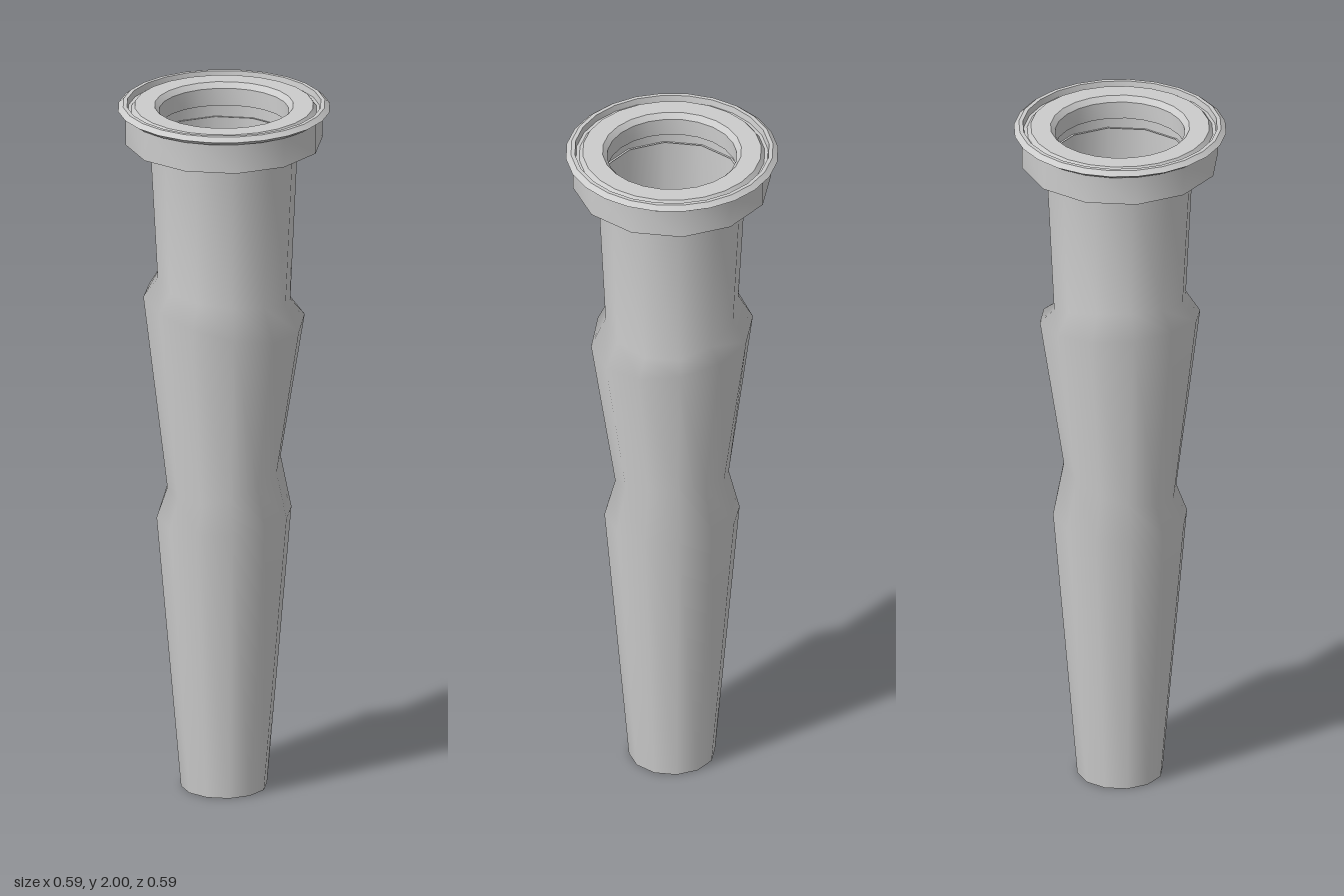
import * as THREE from 'three';
import { mergeVertices, toCreasedNormals } from 'three/addons/utils/BufferGeometryUtils.js';

const material = new THREE.MeshStandardMaterial({ color: 0xcccccc, side: THREE.DoubleSide });

function addMesh(group, name, geometry) {
  const mesh = new THREE.Mesh(geometry, material);
  mesh.name = name;
  group.add(mesh);
}

// Turned part with crisp edges; profile points are [radius, height].
function turned(profile, sides) {
  const points = profile.map(([r, y]) => new THREE.Vector2(r, y));
  return toCreasedNormals(new THREE.LatheGeometry(points, sides), 0.6);
}

// Hollow tapering body: the neck, ridge and waist heights drift around the axis.
// Each ring: radius, then heights at -x, +x, -z and +z.
function bodyGeometry() {
  const rings = [
    [0.12, 0, 0, 0, 0],
    [0.188, 0.8, 0.8, 0.81, 0.79],
    [0.158, 0.92, 0.91, 0.97, 0.87],
    [0.225, 1.43, 1.36, 1.39, 1.43],
    [0.185, 1.5, 1.45, 1.42, 1.48],
    [0.208, 1.93, 1.93, 1.93, 1.93],
  ];
  const points = rings.map(([r, ...h]) => new THREE.Vector2(r, (h[0] + h[1]) / 2));
  const sides = 12;
  const geometry = new THREE.LatheGeometry(points, sides);
  const pos = geometry.attributes.position;
  for (let i = 0; i < pos.count; i++) {
    const [r, left, right, back, front] = rings[i % rings.length];
    const sx = pos.getX(i) / r, sz = pos.getZ(i) / r;
    const y = sx * sx * (left + right) / 2 + sx * (right - left) / 2
      + sz * sz * (back + front) / 2 + sz * (front - back) / 2;
    pos.setY(i, y);
  }
  geometry.deleteAttribute('normal');
  geometry.deleteAttribute('uv');
  const welded = mergeVertices(geometry, 1e-4);
  welded.computeVertexNormals();
  return welded;
}

export function createModel() {
  const group = new THREE.Group();
  group.name = 'taperedTube';

  addMesh(group, 'body', bodyGeometry());

  // Flat closed end
  const base = new THREE.CircleGeometry(0.12, 12);
  base.rotateX(Math.PI / 2);
  addMesh(group, 'base', base);

  // Twelve-sided collar under the rim
  addMesh(group, 'collar', turned([
    [0.2, 1.89], [0.275, 1.89], [0.275, 1.978],
  ], 12));

  // Thin flared flange with a groove inside it
  addMesh(group, 'flange', turned([
    [0.255, 1.975], [0.276, 1.975], [0.295, 1.988], [0.281, 2], [0.27, 2], [0.267, 1.982], [0.255, 1.982],
  ], 24));

  // Raised inner ring around the bore
  addMesh(group, 'mouthRing', turned([
    [0.18, 1.93], [0.26, 1.93], [0.258, 1.982], [0.248, 1.995], [0.193, 1.995], [0.18, 1.98], [0.18, 1.93],
  ], 24));

  return group;
}
